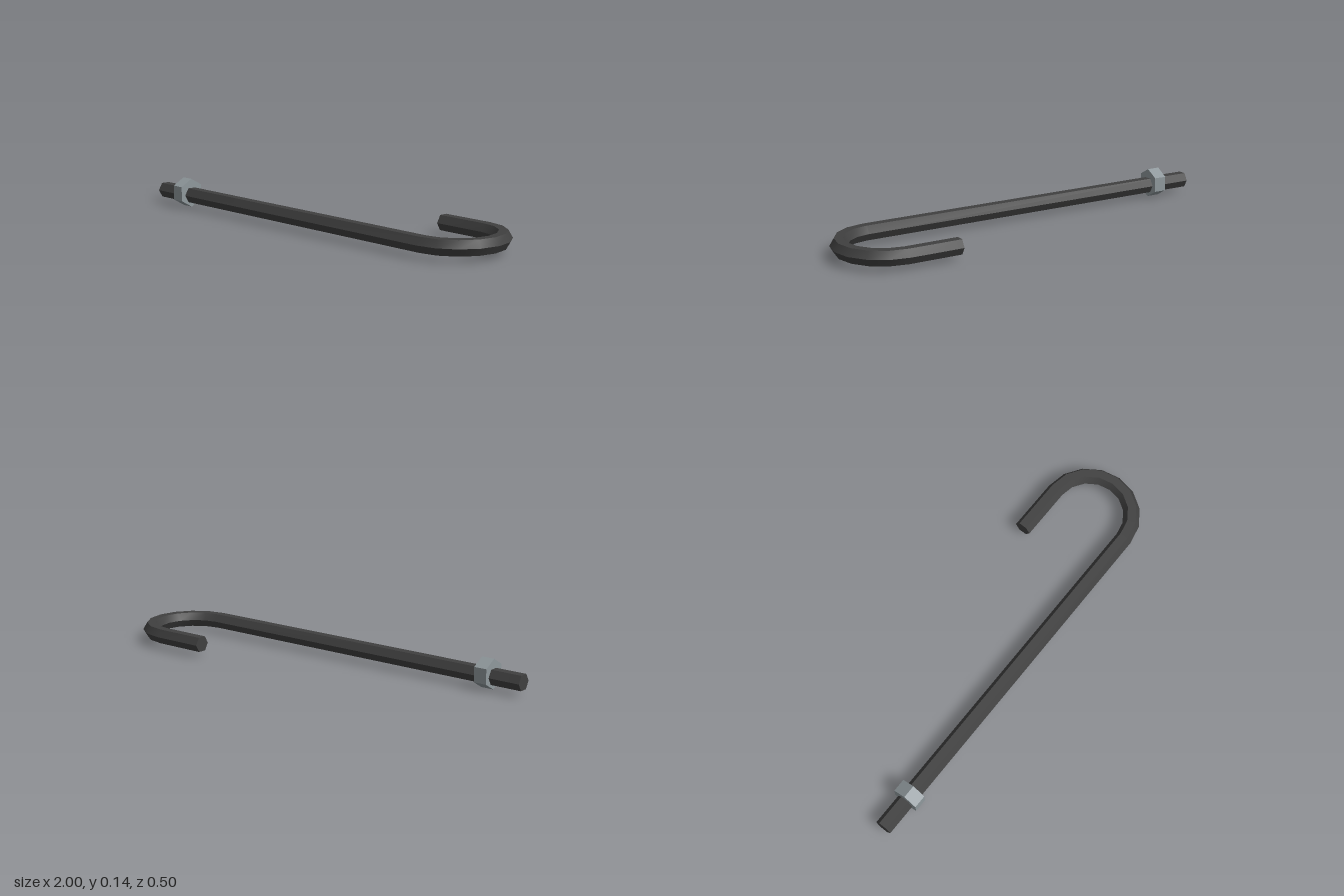
import * as THREE from 'three';
import { toCreasedNormals } from 'three/addons/utils/BufferGeometryUtils.js';

const SIDES = 6, ROD_R = 0.0395, ROD_Y = 0.059;
const BEND_X = 0.76, BEND_Z = -0.0095, BEND_R = 0.201, BEND_STEPS = 8;

// Hexagonal bar: straight shank, half-circle bend, short return arm
function hookGeometry() {
  const stations = [{ x: -1, a: 0 }];
  for (let i = 0; i <= BEND_STEPS; i++) stations.push({ x: BEND_X, a: (i / BEND_STEPS) * Math.PI });
  stations.push({ x: 0.505, a: Math.PI });

  const pos = [], idx = [];
  for (const { x, a } of stations) {
    for (let j = 0; j < SIDES; j++) {
      const t = (j / SIDES) * Math.PI * 2;
      const r = BEND_R + ROD_R * Math.cos(t);
      pos.push(x + r * Math.sin(a), ROD_Y + ROD_R * Math.sin(t), BEND_Z + r * Math.cos(a));
    }
  }
  for (let i = 0; i < stations.length - 1; i++) {
    for (let j = 0; j < SIDES; j++) {
      const k = (j + 1) % SIDES;
      const a = i * SIDES + j, b = i * SIDES + k;
      idx.push(a, a + SIDES, b + SIDES, a, b + SIDES, b);
    }
  }
  // End caps
  const last = (stations.length - 1) * SIDES;
  for (let j = 1; j < SIDES - 1; j++) {
    idx.push(0, j, j + 1, last, last + j + 1, last + j);
  }
  const geo = new THREE.BufferGeometry();
  geo.setAttribute('position', new THREE.Float32BufferAttribute(pos, 3));
  geo.setIndex(idx);
  return toCreasedNormals(geo, Math.PI / 6);
}

export function createModel() {
  const darkSteel = new THREE.MeshStandardMaterial({ color: 0x404040 });
  darkSteel.name = 'dark steel';
  const paleSteel = new THREE.MeshStandardMaterial({ color: 0x8f989c });
  paleSteel.name = 'pale steel';

  const model = new THREE.Group();
  model.name = 'hookBolt';

  const rod = new THREE.Mesh(hookGeometry(), darkSteel);
  rod.name = 'hookedRod';
  model.add(rod);

  // Hexagonal nut, corners up and down, sitting slightly high on the rod
  const nutGeo = new THREE.CylinderGeometry(0.069, 0.069, 0.062, 6, 1, false, Math.PI / 6);
  nutGeo.rotateZ(Math.PI / 2);
  const nut = new THREE.Mesh(toCreasedNormals(nutGeo, Math.PI / 6), paleSteel);
  nut.name = 'nut';
  nut.position.set(-0.818, 0.069, 0.192);
  model.add(nut);

  return model;
}
